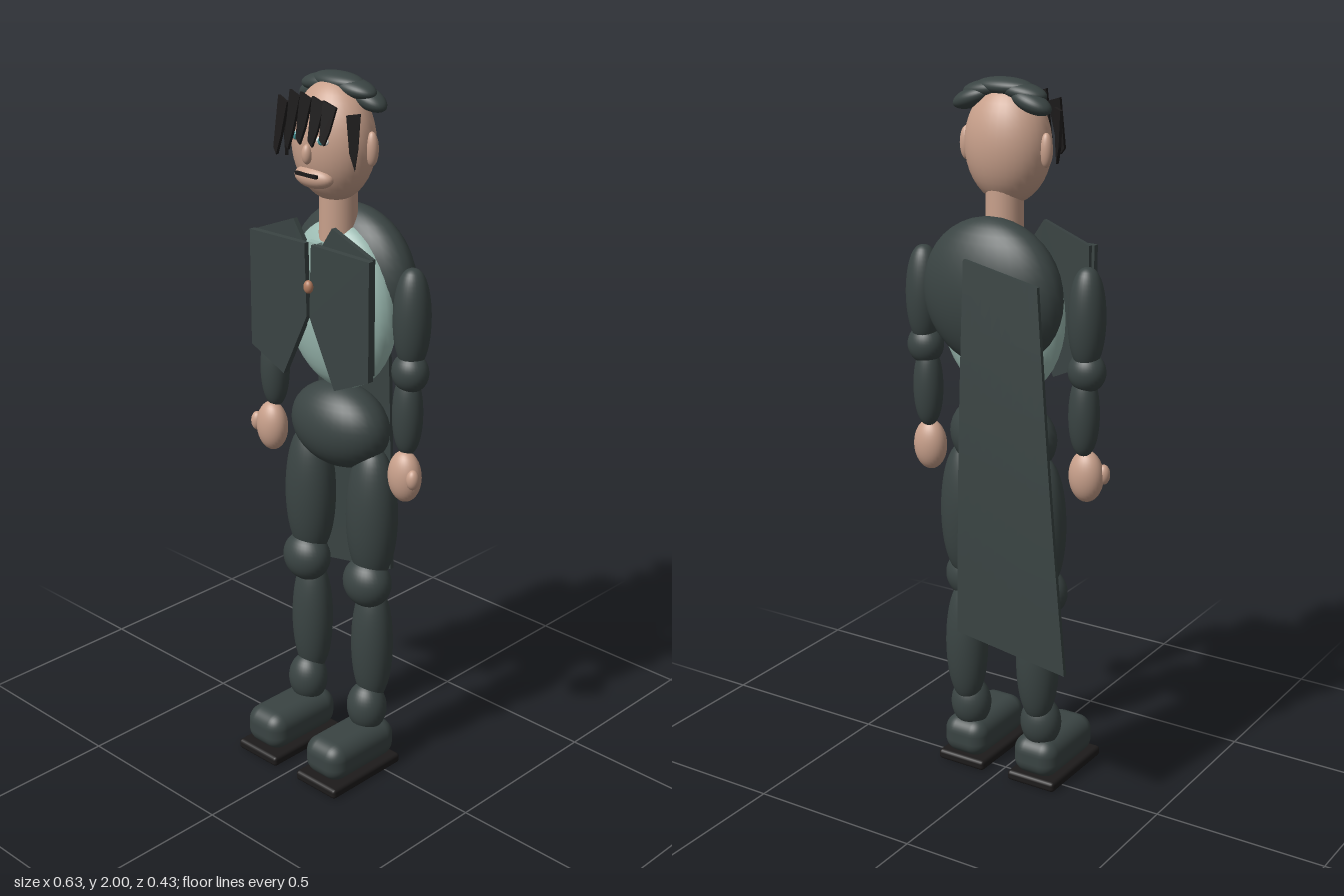
import * as THREE from 'three';
import { RoundedBoxGeometry } from 'three/addons/geometries/RoundedBoxGeometry.js';

export function createModel() {
  const root = new THREE.Group();
  const mat = (name, color) => {
    const m = new THREE.MeshStandardMaterial({ color });
    m.name = name;
    return m;
  };
  const cloth = mat('dark cloth', 0x3a4443);
  const shirt = mat('pale teal shirt', 0x9dbcb3);
  const skin = mat('skin', 0xc8a08b);
  const black = mat('black', 0x1d1b1b);
  const copper = mat('copper', 0xb27c60);
  const white = mat('eye white', 0xe4e6e2);
  const teal = mat('iris teal', 0x3f8f92);

  const add = (name, geo, material, x = 0, y = 0, z = 0) => {
    const m = new THREE.Mesh(geo, material);
    m.name = name;
    m.position.set(x, y, z);
    root.add(m);
    return m;
  };
  const ball = (name, material, [x, y, z], [rx, ry, rz], tilt = 0) => {
    const m = add(name, new THREE.SphereGeometry(1, 32, 20).scale(rx, ry, rz), material, x, y, z);
    m.rotation.z = tilt;
    return m;
  };
  // Limb segment: a fuller, slightly blunt ellipsoid
  const limb = (name, material, [x, y, z], [rx, ry, rz]) => {
    const pts = [];
    for (let i = 0; i <= 24; i++) {
      const a = -Math.PI / 2 + (Math.PI * i) / 24;
      pts.push(new THREE.Vector2(i % 24 ? Math.pow(Math.cos(a), 0.8) : 0, Math.sin(a)));
    }
    return add(name, new THREE.LatheGeometry(pts, 32).scale(rx, ry, rz), material, x, y, z);
  };
  const plate = (name, material, pts, z, depth) => {
    const s = new THREE.Shape(pts.map(([x, y]) => new THREE.Vector2(x, y)));
    return add(name, new THREE.ExtrudeGeometry(s, { depth, bevelEnabled: false }), material, 0, 0, z);
  };

  // Torso
  ball('hips', cloth, [0, 1.03, -0.013], [0.162, 0.12, 0.101]);
  ball('shirtTorso', shirt, [0, 1.375, -0.015], [0.188, 0.235, 0.095]);
  ball('mantle', cloth, [0, 1.44, -0.065], [0.211, 0.205, 0.102]);
  plate('shirtFront', shirt, [[-0.02, 1.34], [0.02, 1.34], [0.02, 1.57], [-0.02, 1.57]], 0.075, 0.02);
  ball('button', copper, [0.012, 1.457, 0.12], [0.014, 0.018, 0.012]);
  add('neck', new THREE.CylinderGeometry(0.05, 0.052, 0.16, 32), skin, 0, 1.64, -0.005);

  for (const s of [-1, 1]) {
    // Open jacket front with collar layer behind
    const flip = (pts) => pts.map(([x, y]) => [x * s, y]);
    plate('jacketFront', cloth,
      flip([[0.218, 1.565], [0.012, 1.568], [0.005, 1.37], [0.095, 1.185], [0.218, 1.24]]), 0.092, 0.018);
    plate('jacketLining', cloth,
      flip([[0.21, 1.565], [0.07, 1.62], [0.03, 1.56], [0.025, 1.37], [0.1, 1.2], [0.21, 1.25]]), 0.078, 0.014);

    // Legs
    const x = 0.119 * s;
    limb('thigh', cloth, [x, 0.79, -0.015], [0.077, 0.2, 0.067]);
    ball('knee', cloth, [x, 0.588, 0.002], [0.075, 0.073, 0.061]);
    limb('shin', cloth, [x, 0.385, -0.02], [0.063, 0.185, 0.056]);
    ball('ankle', cloth, [x, 0.185, 0], [0.06, 0.075, 0.055]);
    add('shoe', new RoundedBoxGeometry(0.14, 0.115, 0.262, 5, 0.045), cloth, x, 0.084, 0.07);
    add('sole', new RoundedBoxGeometry(0.155, 0.03, 0.276, 2, 0.01), black, x, 0.015, 0.077);

    // Arms
    limb('upperArm', cloth, [0.258 * s, 1.395, -0.012], [0.051, 0.137, 0.05]);
    ball('elbow', cloth, [0.258 * s, 1.25, -0.008], [0.053, 0.055, 0.046]);
    limb('forearm', cloth, [0.251 * s, 1.13, -0.008], [0.043, 0.115, 0.04]);
    ball('hand', skin, [0.254 * s, 0.955, 0.003], [0.05, 0.073, 0.04]);
    ball('thumb', skin, [0.298 * s, 0.962, 0.02], [0.018, 0.028, 0.018]);

    // Face sides
    ball('ear', skin, [0.123 * s, 1.82, 0], [0.018, 0.045, 0.017]);
    ball('eyeWhite', white, [0.045 * s, 1.845, 0.1], [0.022, 0.012, 0.008]);
    ball('iris', teal, [0.045 * s, 1.845, 0.106], [0.009, 0.01, 0.005]);

    // Crown hair and temple lock
    ball('hairMiddle', cloth, [0.055 * s, 1.966, -0.006], [0.07, 0.024, 0.04], -0.15 * s);
    ball('hairSide', cloth, [0.09 * s, 1.942, -0.02], [0.06, 0.026, 0.036], -0.35 * s);
    const lock = plate('templeLock', black,
      [[-0.018, 0.065], [0.018, 0.07], [0.012, -0.02], [0.004, -0.075], [-0.01, -0.03]], 0, 0.008);
    lock.position.set(0.118 * s, 1.85, 0.062);
    lock.rotation.y = 0.6 * s;
  }

  // Head
  ball('head', skin, [0, 1.825, 0.012], [0.122, 0.158, 0.097]);
  ball('hairTop', cloth, [0, 1.976, -0.005], [0.085, 0.024, 0.042]);
  ball('nose', skin, [0, 1.805, 0.11], [0.014, 0.026, 0.014]);
  ball('muzzle', skin, [0, 1.742, 0.084], [0.064, 0.03, 0.032]);
  add('mouth', new THREE.BoxGeometry(0.075, 0.009, 0.008), black, 0, 1.752, 0.113);

  // Fringe strands: [x, top, bottom]
  for (const [x, top, bottom] of [[-0.09, 1.94, 1.79], [-0.048, 1.96, 1.81], [-0.008, 1.96, 1.83],
    [0.035, 1.955, 1.83], [0.075, 1.95, 1.84]]) {
    const h = (top - bottom) / 2;
    const strand = plate('fringeStrand', black,
      [[-0.02, h], [0.022, h - 0.008], [0.014, -h * 0.3], [0.004, -h], [-0.012, -h * 0.8]], 0, 0.008);
    strand.position.set(x, (top + bottom) / 2, 0.112);
    strand.rotation.set(-0.1, x * 2, -0.12);
  }

  // One-sided cape, blended between its four corners
  const corner = (x, y, z) => new THREE.Vector3(x, y, z);
  const tl = corner(-0.197, 1.5, -0.158), tr = corner(0.02, 1.55, -0.17);
  const bl = corner(-0.312, 0.458, -0.197), br = corner(0.02, 0.515, -0.21);
  const cape = new THREE.BoxGeometry(1, 1, 0.012, 8, 12, 1);
  const p = cape.attributes.position;
  for (let i = 0; i < p.count; i++) {
    const u = p.getX(i) + 0.5, v = p.getY(i) + 0.5, d = p.getZ(i);
    const q = bl.clone().lerp(br, u).lerp(tl.clone().lerp(tr, u), v);
    p.setXYZ(i, q.x, q.y, q.z + d - 0.008 * Math.sin(Math.PI * v));
  }
  cape.computeVertexNormals();
  add('cape', cape, cloth);

  return root;
}
